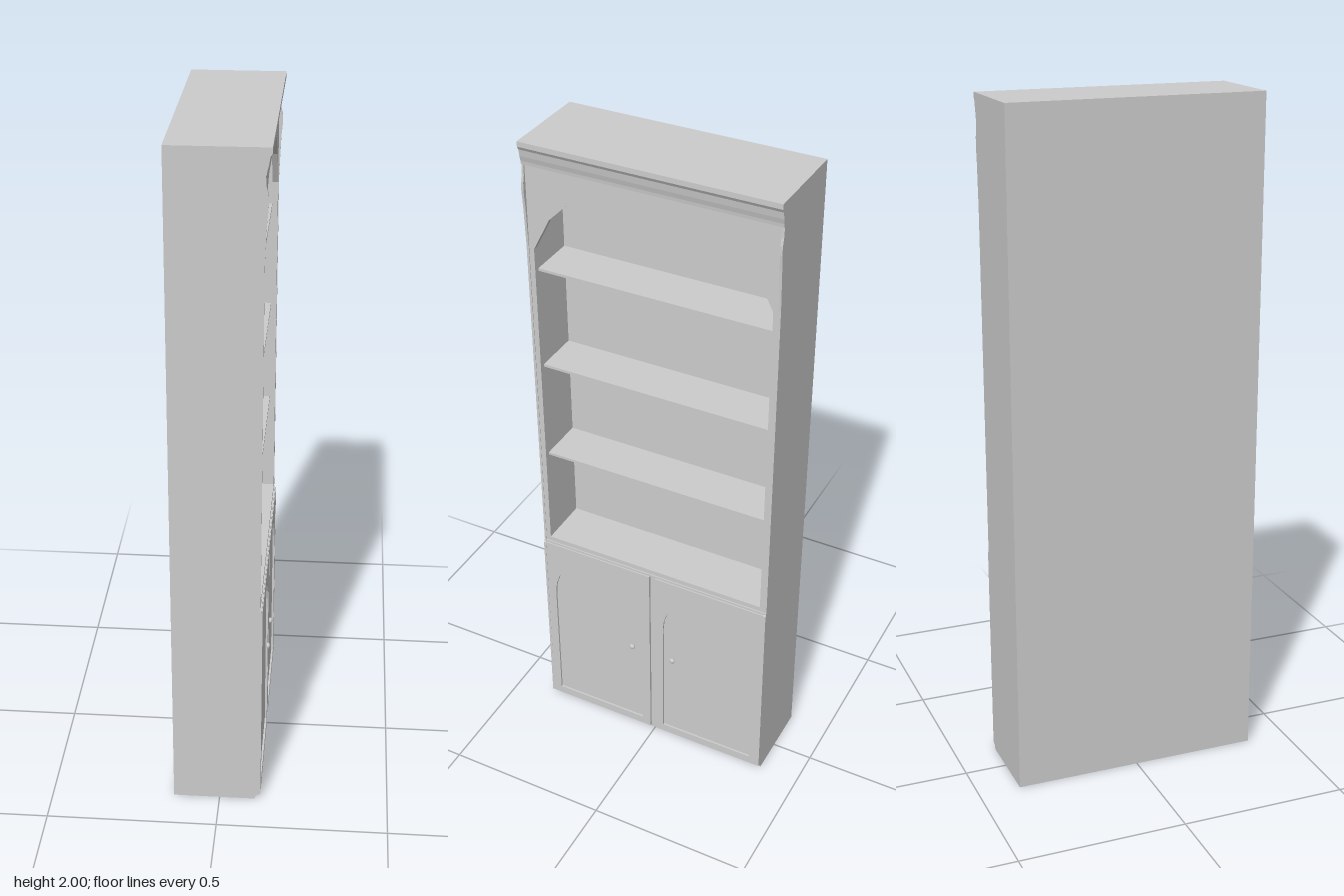
import * as THREE from 'three';

const material = new THREE.MeshStandardMaterial({ color: 0xcccccc, side: THREE.DoubleSide });
const BACK = -0.137, HALF = 0.375;

export function createModel() {
  const group = new THREE.Group();
  group.name = 'bookcase';

  const add = (name, geometry) => {
    const mesh = new THREE.Mesh(geometry, material);
    mesh.name = name;
    group.add(mesh);
    return mesh;
  };

  // Box given by its limits on each axis
  const box = (name, x0, x1, y0, y1, z0, z1) =>
    add(name, new THREE.BoxGeometry(x1 - x0, y1 - y0, z1 - z0))
      .position.set((x0 + x1) / 2, (y0 + y1) / 2, (z0 + z1) / 2);

  // Side outline (x, y) swept along z
  const sweep = (name, points, z0, z1) => {
    const shape = new THREE.Shape(points.map(([x, y]) => new THREE.Vector2(x, y)));
    add(name, new THREE.ExtrudeGeometry(shape, { depth: z1 - z0, bevelEnabled: false }))
      .position.z = z0;
  };

  // Panel facing +x from an outline (z, y) with one opening
  const panel = (name, outline, hole, x0, x1) => {
    const toPoints = (list) => list.map(([z, y]) => new THREE.Vector2(-z, y));
    const shape = new THREE.Shape(toPoints(outline));
    shape.holes.push(new THREE.Path(toPoints(hole)));
    const geometry = new THREE.ExtrudeGeometry(shape, { depth: x1 - x0, bevelEnabled: false });
    geometry.rotateY(Math.PI / 2);
    add(name, geometry).position.x = x0;
  };
  const rect = (z0, z1, y0, y1) => [[z0, y0], [z1, y0], [z1, y1], [z0, y1]];

  // Carcass: back, roof, lower cabinet and recessed plinth
  box('back', BACK, -0.04, 0.66, 1.925, -0.369, 0.369);
  box('roof', BACK, 0.112, 1.925, 1.99, -0.369, 0.369);
  box('lowerCabinet', BACK, 0.114, 0.015, 0.677, -0.369, 0.369);
  box('plinth', BACK, 0.106, 0, 0.015, -0.369, 0.369);

  // Thin outer sides with a bracket curve at the top front
  const sideOutline = [
    [BACK, 0], [0.105, 0], [0.108, 0.012], [0.122, 0.018], [0.123, 0.652],
    [0.117, 0.66], [0.118, 1.69], [0.12, 1.74], [0.123, 1.81], [0.127, 1.855],
    [0.126, 1.88], [0.121, 1.9], [0.119, 1.93], [0.119, 1.99], [BACK, 1.99],
  ];
  for (const s of [-1, 1]) {
    const a = s * 0.368, b = s * HALF;
    sweep('side', sideOutline, Math.min(a, b), Math.max(a, b));
    // Inner wall of the open section
    const c = s * 0.353;
    box('innerWall', -0.045, 0.11, 0.677, 1.925, Math.min(a, c), Math.max(a, c));
  }

  // Cornice moulding
  sweep('cornice', [
    [BACK, 1.93], [0.121, 1.93], [0.122, 1.94], [0.126, 1.955], [0.129, 1.975],
    [0.135, 1.985], [0.135, 2], [BACK, 2],
  ], -HALF, HALF);

  // Face frame with the arched opening
  const archSide = [[0.353, 1.68], [0.302, 1.78], [0.24, 1.843], [0.165, 1.87]];
  panel('faceFrame', rect(-0.369, 0.369, 0.66, 1.93), [
    [-0.353, 0.677], [0.353, 0.677], ...archSide,
    ...archSide.map(([z, y]) => [-z, y]).reverse(),
  ], 0.1, 0.116);

  // Ledge between the two sections
  box('waistLedge', 0.1, 0.12, 0.655, 0.662, -HALF, HALF);

  // Shelves
  for (const y of [0.985, 1.297, 1.61]) {
    box('shelf', -0.045, 0.1, y - 0.004, y + 0.004, -0.36, 0.36);
  }

  // Doors with a sunken arched field, and round knobs
  for (const s of [-1, 1]) {
    const center = s * 0.189;
    const arch = [];
    for (let i = 0; i <= 14; i++) {
      const t = (i / 14) * Math.PI;
      arch.push([center + 0.152 * Math.cos(t), 0.46 + 0.16 * Math.sin(t)]);
    }
    const hole = [[center - 0.152, 0.045], [center + 0.152, 0.045], ...arch];
    panel('door', rect(center - 0.18, center + 0.18, 0.018, 0.653), hole, 0.113, 0.122);
    box('doorField', 0.11, 0.116, 0.03, 0.64, center - 0.17, center + 0.17);

    const knob = add('knob', new THREE.SphereGeometry(0.009, 16, 12));
    knob.position.set(0.125, 0.344, s * 0.07);
    knob.scale.x = 0.7;
  }

  return group;
}
